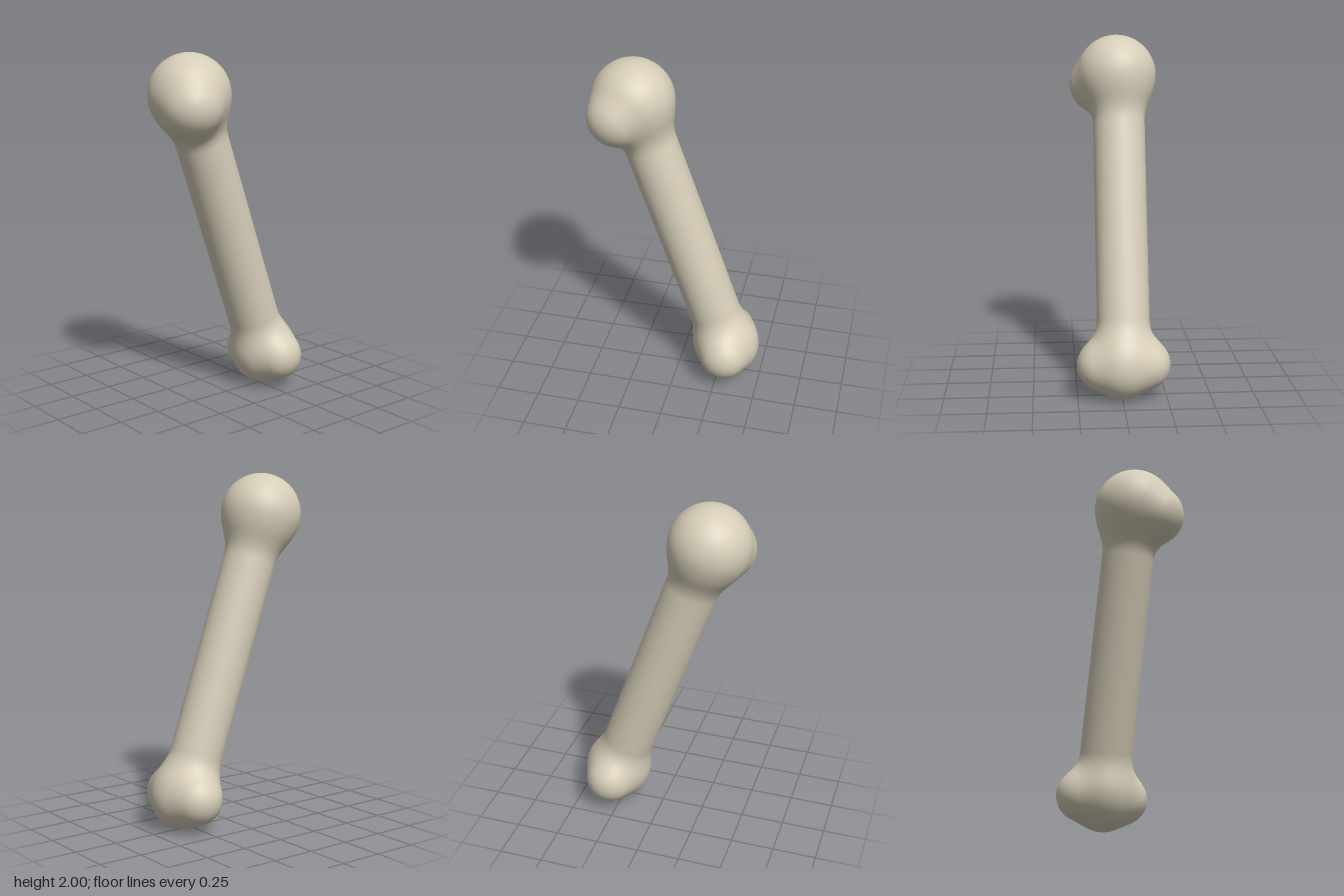
import * as THREE from 'three';

const V = (x, y, z) => new THREE.Vector3(x, y, z);

// Joint centres at the two ends of the leaning shaft
const TOP = V(-0.26, 1.77, 0);
const BOTTOM = V(0.291, 0.197, 0);

// Distance to the hull of two spheres (a, r1) and (b, r2)
function roundCone(p, a, r1, b, r2) {
  const ab = b.clone().sub(a), l = ab.length();
  const ap = p.clone().sub(a);
  const y = ap.dot(ab) / l;
  const x = Math.sqrt(Math.max(0, ap.lengthSq() - y * y));
  const s = (r1 - r2) / l, c = Math.sqrt(1 - s * s);
  const k = -s * x + c * y;
  if (k < 0) return Math.hypot(x, y) - r1;
  if (k > c * l) return Math.hypot(x, y - l) - r2;
  return x * c + y * s - r1;
}

function smoothMin(a, b, k) {
  const h = Math.max(k - Math.abs(a - b), 0) / k;
  return Math.min(a, b) - h * h * k / 4;
}

const shaftTop = TOP.clone().lerp(BOTTOM, 0.08).setZ(-0.01);
const shaftBottom = TOP.clone().lerp(BOTTOM, 0.95).setZ(-0.01);
const headLobe = V(-0.32, 1.715, 0.1);
const frontLobe = V(0.295, 0.198, 0.11);
const backLobe = V(0.295, 0.198, -0.125);

// Shaft blended into the rounded head and the two-lobed lower knuckle
function boneDistance(p) {
  const shaft = roundCone(p, shaftTop, 0.149, shaftBottom, 0.149);
  const head = roundCone(p, TOP, 0.23, headLobe, 0.17);
  const knuckle = Math.min(
    roundCone(p, BOTTOM, 0.193, frontLobe, 0.145),
    roundCone(p, BOTTOM, 0.193, backLobe, 0.145));
  return smoothMin(shaft, smoothMin(head, knuckle, 0.03), 0.09);
}

// Walk outward from the bone axis until the surface is reached
function surfacePoint(origin, dir) {
  let lo = 0, hi = 0.5;
  for (let i = 0; i < 22; i++) {
    const mid = (lo + hi) / 2;
    if (boneDistance(origin.clone().addScaledVector(dir, mid)) < 0) lo = mid;
    else hi = mid;
  }
  return origin.clone().addScaledVector(dir, lo);
}

function surfaceNormal(p) {
  const e = 0.006;
  const slope = (d) => boneDistance(p.clone().add(d)) - boneDistance(p.clone().sub(d));
  return V(slope(V(e, 0, 0)), slope(V(0, e, 0)), slope(V(0, 0, e))).normalize();
}

function boneGeometry() {
  const SEG = 64, CAP = 24, BODY = 110;
  const up = TOP.clone().sub(BOTTOM).normalize();
  const e1 = V(0, 0, 1), e2 = up.clone().cross(e1);

  // Rows run from the upper pole, down the shaft, to the lower pole
  const rows = [];
  for (let i = 0; i < CAP; i++) rows.push([TOP, (i / CAP) * Math.PI / 2]);
  for (let i = 0; i <= BODY; i++) rows.push([TOP.clone().lerp(BOTTOM, i / BODY), Math.PI / 2]);
  for (let i = 1; i <= CAP; i++) rows.push([BOTTOM, (1 + i / CAP) * Math.PI / 2]);

  const positions = [], normals = [], index = [];
  rows.forEach(([origin, tilt], i) => {
    for (let j = 0; j < SEG; j++) {
      const phi = (j / SEG) * Math.PI * 2;
      const dir = up.clone().multiplyScalar(Math.cos(tilt))
        .addScaledVector(e1, Math.sin(tilt) * Math.cos(phi))
        .addScaledVector(e2, Math.sin(tilt) * Math.sin(phi));
      const p = surfacePoint(origin, dir);
      positions.push(p.x, p.y, p.z);
      normals.push(...surfaceNormal(p).toArray());
      if (i === rows.length - 1) continue;
      const a = i * SEG + j, b = i * SEG + (j + 1) % SEG;
      const c = a + SEG, d = b + SEG;
      if (i > 0) index.push(a, c, b);
      else index.push(a, c, d);
      if (i > 0 && i < rows.length - 2) index.push(b, c, d);
    }
  });

  const geometry = new THREE.BufferGeometry();
  geometry.setAttribute('position', new THREE.Float32BufferAttribute(positions, 3));
  geometry.setAttribute('normal', new THREE.Float32BufferAttribute(normals, 3));
  geometry.setIndex(index);
  return geometry;
}

export function createModel() {
  const group = new THREE.Group();
  group.name = 'bone';
  const ivory = new THREE.MeshStandardMaterial({ color: 0xd6cdb8 });
  ivory.name = 'ivory';
  const bone = new THREE.Mesh(boneGeometry(), ivory);
  bone.name = 'boneShaftAndKnuckles';
  group.add(bone);
  return group;
}
